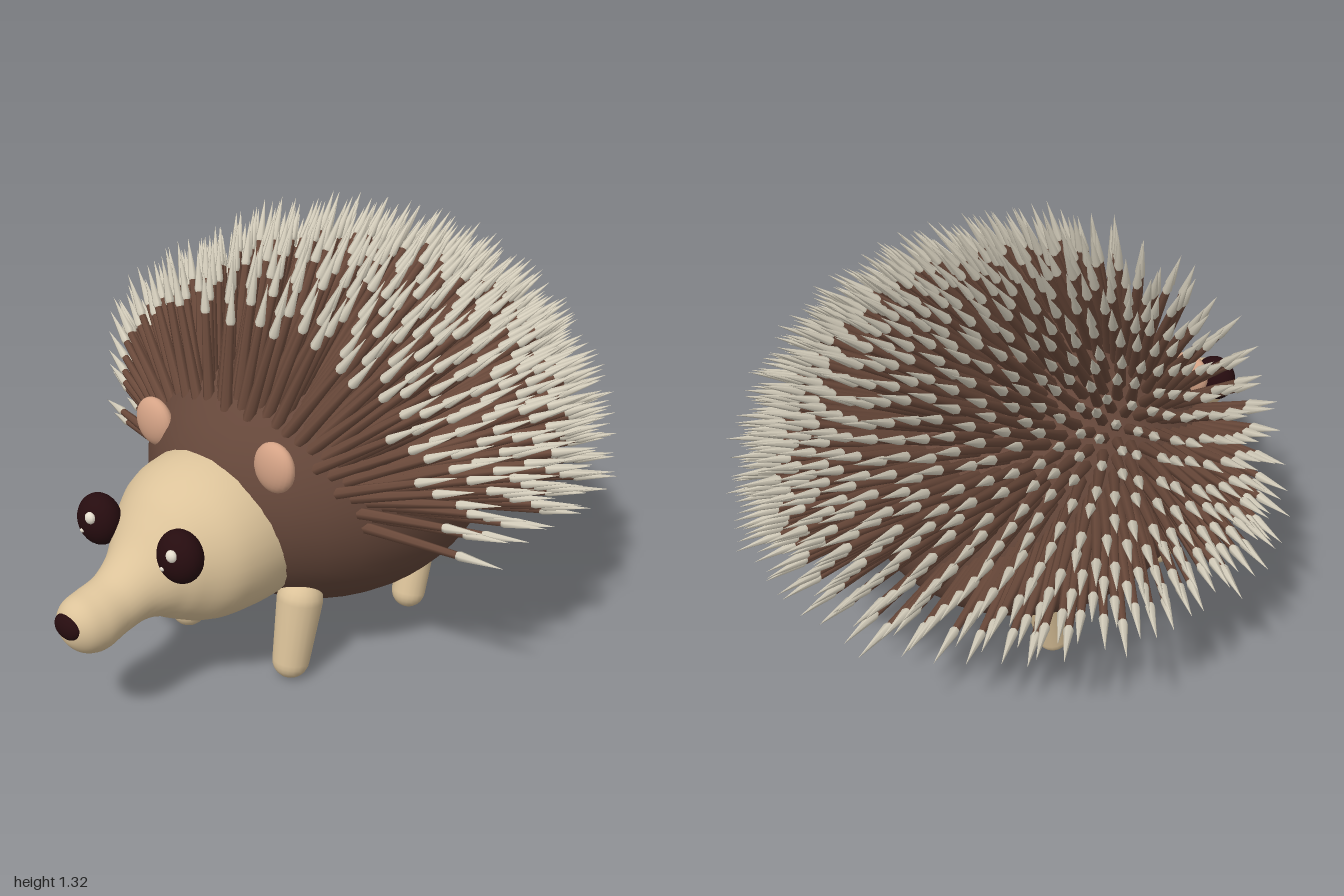
import * as THREE from 'three';
import { mergeGeometries } from 'three/addons/utils/BufferGeometryUtils.js';

const paint = (name, color) => {
  const m = new THREE.MeshStandardMaterial({ color });
  m.name = name;
  return m;
};

// Body ellipsoid, shared by the body and the quills
const C = new THREE.Vector3(0, 0.55, -0.05);
const R = new THREE.Vector3(0.52, 0.44, 0.57);

export function createModel() {
  const mat = {
    fur: paint('brown fur', 0x65473a),
    shaft: paint('quill brown', 0x6b4a3b),
    tip: paint('quill cream', 0xd6cfbd),
    skin: paint('tan skin', 0xdcc39a),
    ear: paint('pink ear', 0xd5a386),
    dark: paint('dark eye', 0x260c0f),
    glint: paint('eye glint', 0xece4d4),
  };
  mat.shaft.side = THREE.DoubleSide;
  const group = new THREE.Group();
  const add = (name, geometry, material) => {
    const mesh = new THREE.Mesh(geometry, material);
    mesh.name = name;
    group.add(mesh);
    return mesh;
  };
  const ellipsoid = (name, material, pos, radii, seg = 24) => {
    const mesh = add(name, new THREE.SphereGeometry(1, seg, Math.round(seg * 0.67)), material);
    mesh.position.set(...pos);
    mesh.scale.set(...radii);
    return mesh;
  };

  ellipsoid('body', mat.fur, C.toArray(), R.toArray(), 32);

  // Head and snout: elliptical rings along z, as (z, centre height, radius)
  const stations = [
    [0.25, 0.46, 0.24], [0.4, 0.458, 0.25], [0.5, 0.456, 0.245], [0.58, 0.45, 0.226],
    [0.65, 0.444, 0.19], [0.7, 0.431, 0.149], [0.76, 0.4, 0.108], [0.83, 0.366, 0.09],
    [0.9, 0.347, 0.09], [0.95, 0.348, 0.077], [0.98, 0.352, 0.048], [0.993, 0.355, 0.001],
  ].map((s) => new THREE.Vector3(...s));
  const rings = new THREE.CatmullRomCurve3(stations).getPoints(55);
  const head = new THREE.LatheGeometry(rings.map((_, i) => new THREE.Vector2(1, i)), 32);
  const p = head.attributes.position;
  for (let i = 0; i < p.count; i++) {
    const s = rings[Math.round(p.getY(i))];
    const wide = 1 + 0.08 * THREE.MathUtils.smoothstep(s.z, 0.19, 0.24);
    p.setXYZ(i, p.getX(i) * s.z * wide, s.y - p.getZ(i) * s.z, s.x);
  }
  head.computeVertexNormals();
  add('head', head, mat.skin);
  ellipsoid('nose', mat.dark, [0, 0.36, 0.976], [0.05, 0.038, 0.026]);

  // Tapered leg with rounded foot, from foot centre to hip
  const leg = (name, foot, hip, r0, r1) => {
    const a = new THREE.Vector3(...foot), b = new THREE.Vector3(...hip);
    const len = a.distanceTo(b);
    const pts = [];
    for (let i = 0; i <= 6; i++) {
      const t = (i / 6) * Math.PI / 2;
      pts.push(new THREE.Vector2(r0 * Math.sin(t), -r0 * Math.cos(t)));
    }
    for (let i = 0; i <= 6; i++) {
      const t = (i / 6) * Math.PI / 2;
      pts.push(new THREE.Vector2(r1 * Math.cos(t), len + r1 * Math.sin(t)));
    }
    const mesh = add(name, new THREE.LatheGeometry(pts, 20), mat.skin);
    mesh.position.copy(a);
    mesh.quaternion.setFromUnitVectors(new THREE.Vector3(0, 1, 0), b.sub(a).normalize());
  };

  for (const [side, s] of [['left', 1], ['right', -1]]) {
    leg(side + 'FrontLeg', [s * 0.222, 0.056, 0.342], [s * 0.228, 0.25, 0.308], 0.056, 0.069);
    leg(side + 'BackLeg', [s * 0.222, 0.056, -0.215], [s * 0.222, 0.24, -0.262], 0.054, 0.058);
    const ear = ellipsoid(side + 'Ear', mat.ear, [s * 0.245, 0.718, 0.426], [0.071, 0.075, 0.035]);
    ear.rotation.z = -s * 0.3;
    ellipsoid(side + 'Eye', mat.dark, [s * 0.168, 0.53, 0.715], [0.072, 0.077, 0.058]);
    ellipsoid(side + 'EyeGlint', mat.glint, [s * 0.168 + 0.02, 0.556, 0.764], [0.018, 0.018, 0.014], 12);
    ellipsoid(side + 'SmallEyeGlint', mat.glint, [s * 0.168 - 0.014, 0.508, 0.769], [0.008, 0.007, 0.006], 8);
  }

  // Quills: spiral spread over the upper body, swept backwards
  let seed = 7;
  const rand = () => (seed = (seed * 16807) % 2147483647) / 2147483647;
  const shaft = new THREE.CylinderGeometry(0.011, 0.018, 0.27, 6, 1, true).translate(0, 0.115, 0);
  const tip = new THREE.LatheGeometry([
    new THREE.Vector2(0.006, 0.23), new THREE.Vector2(0.0145, 0.255), new THREE.Vector2(0.0002, 0.375),
  ], 6);
  const shafts = [], tips = [];
  const up = new THREE.Vector3(0, 1, 0), one = new THREE.Vector3();
  const count = 850;
  for (let i = 0; i < count; i++) {
    const h = 1 - 1.06 * (i + 0.5) / count;
    const r = Math.sqrt(1 - h * h), a = i * 2.399963;
    const unit = new THREE.Vector3(r * Math.cos(a), h, r * Math.sin(a));
    const base = unit.clone().multiply(R).add(C);
    if (base.z > 0.25 + (base.y - 0.5) * 0.43) continue;
    const dir = unit.divide(R).normalize();
    dir.z -= 0.75;
    dir.x += (rand() - 0.5) * 0.1;
    dir.y += (rand() - 0.5) * 0.08;
    dir.normalize();
    one.set(1, 0.92 + rand() * 0.16, 1);
    const q = new THREE.Quaternion().setFromUnitVectors(up, dir);
    const m = new THREE.Matrix4().compose(base, q, one);
    shafts.push(shaft.clone().applyMatrix4(m));
    tips.push(tip.clone().applyMatrix4(m));
  }
  add('quillShafts', mergeGeometries(shafts), mat.shaft);
  add('quillTips', mergeGeometries(tips), mat.tip);

  return group;
}
